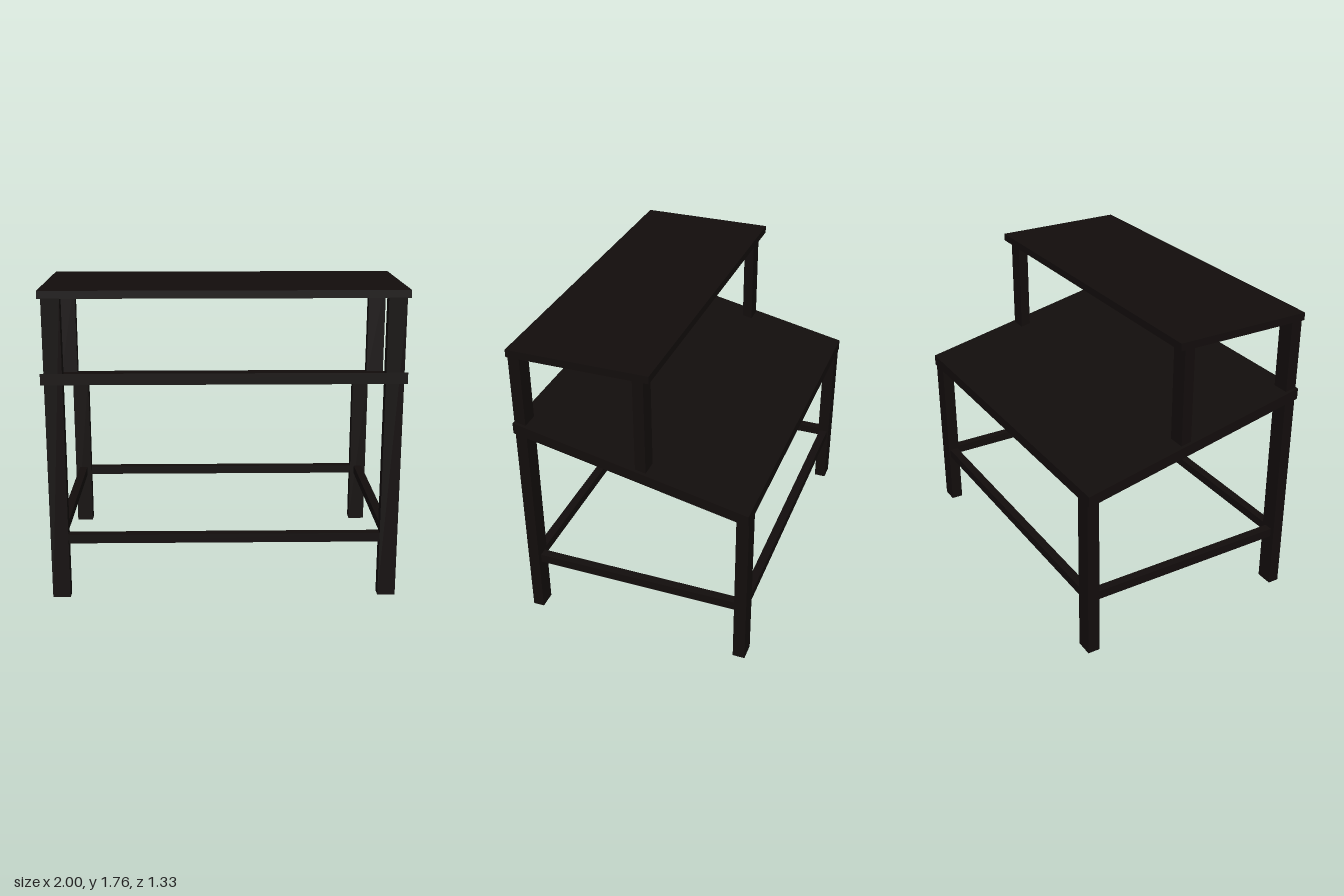
import * as THREE from 'three';

export function createModel() {
  const model = new THREE.Group();
  const wood = new THREE.MeshStandardMaterial({ color: 0x120d0c });

  // Box given by its min/max range on each axis
  function block(name, [x0, x1], [y0, y1], [z0, z1]) {
    const geo = new THREE.BoxGeometry(x1 - x0, y1 - y0, z1 - z0);
    const mesh = new THREE.Mesh(geo, wood);
    mesh.name = name;
    mesh.position.set((x0 + x1) / 2, (y0 + y1) / 2, (z0 + z1) / 2);
    model.add(mesh);
    return mesh;
  }

  const front = [0.6, 0.665];
  const back = [-0.665, -0.595];
  const railY = [0.325, 0.377];

  // Legs, shelf posts and side rails on both sides
  for (const [side, x] of [['left', [0.88, 0.98]], ['right', [-0.98, -0.88]]]) {
    const mid = (x[0] + x[1]) / 2;
    block(side + 'FrontLeg', x, [0, 1.72], front);
    block(side + 'BackLeg', x, [0, 1.0], back);
    block(side + 'ShelfPost', x, [1.13, 1.72], [-0.09, -0.03]);
    block(side + 'SideRail', [mid - 0.025, mid + 0.025], railY, [-0.595, 0.6]);
  }

  // Cross rails between the legs
  block('frontRail', [-0.88, 0.88], railY, [0.608, 0.658]);
  block('backRail', [-0.88, 0.88], railY, [-0.655, -0.605]);

  // Raised shelf
  block('shelf', [-1, 1], [1.717, 1.76], [-0.13, 0.665]);

  // Sloping desktop: a flat board sheared so its ends stay upright
  const desktop = block('desktop', [-1, 1], [1.106, 1.169], [-0.666, 0.666]);
  const shear = new THREE.Matrix4().set(
    1, 0, 0, 0,
    0, 1, 0.21, 0,
    0, 0, 1, 0,
    0, 0, 0, 1
  );
  desktop.geometry.applyMatrix4(shear);
  desktop.geometry.computeVertexNormals();

  return model;
}
